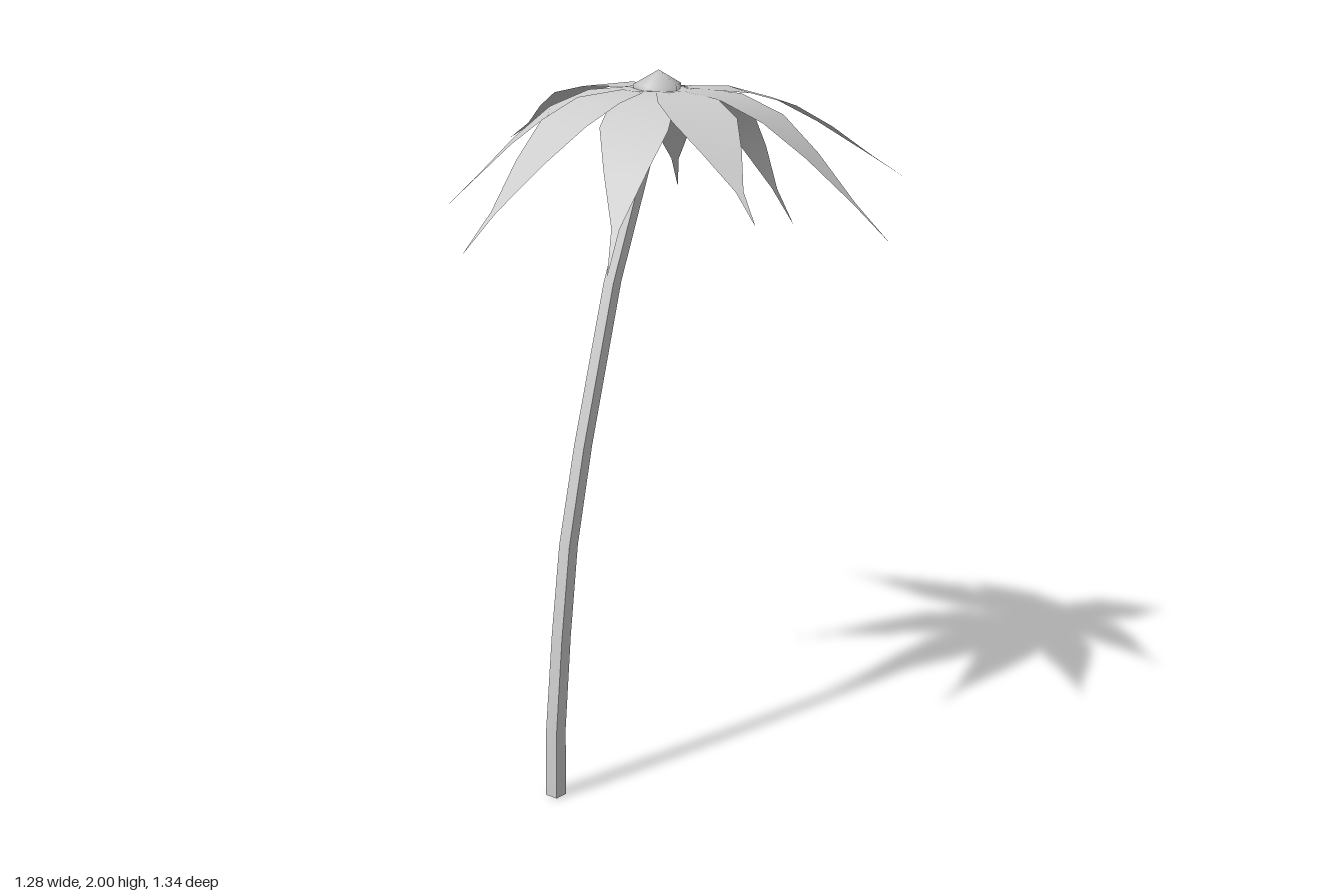
import * as THREE from 'three';

const bark = new THREE.MeshStandardMaterial({ color: 0xcccccc });
bark.name = 'light grey';
const frondGrey = new THREE.MeshStandardMaterial({ color: 0xcccccc, side: THREE.DoubleSide });
frondGrey.name = 'frond grey';

const CENTRE = new THREE.Vector3(0.022, 1.945, 0.038);

// Square trunk: a segmented box bent along the path [x, y]
function createTrunk() {
  const path = [[-0.44, 0], [-0.437, 0.2], [-0.41, 0.47], [-0.375, 0.73], [-0.31, 1.0], [-0.18, 1.44], [0.015, 1.9]];
  const n = path.length - 1;
  const geo = new THREE.BoxGeometry(1, 1, 1, 1, n, 1);
  const p = geo.attributes.position;
  for (let i = 0; i < p.count; i++) {
    const k = Math.round((p.getY(i) + 0.5) * n);
    const width = 0.04 - 0.007 * k / n;
    p.setXYZ(i, path[k][0] + p.getX(i) * width, path[k][1], CENTRE.z + p.getZ(i) * width);
  }
  geo.computeVertexNormals();
  const trunk = new THREE.Mesh(geo, bark);
  trunk.name = 'trunk';
  return trunk;
}

// Pointed leaf running from the crown to its tip, drooping towards the end
function createFrond(tipX, tipY, tipZ) {
  // [fraction of reach, half width, fraction of droop]
  const sections = [[0.05, 0.02, 0], [0.14, 0.045, -0.01], [0.32, 0.088, 0.03], [0.5, 0.094, 0.17],
    [0.67, 0.058, 0.42], [0.85, 0.011, 0.74], [1, 0.0005, 1]];
  const dx = tipX - CENTRE.x, dz = tipZ - CENTRE.z, reach = Math.hypot(dx, dz);
  const verts = [], index = [];
  sections.forEach(([t, half, droop], i) => {
    const y = CENTRE.y + (tipY - CENTRE.y) * droop;
    for (const side of [-1, 1]) {
      verts.push(CENTRE.x + dx * t + side * half * dz / reach, y, CENTRE.z + dz * t - side * half * dx / reach);
    }
    if (i) {
      const a = 2 * i - 2;
      index.push(a, a + 3, a + 1, a, a + 2, a + 3);
    }
  });
  const geo = new THREE.BufferGeometry();
  geo.setAttribute('position', new THREE.Float32BufferAttribute(verts, 3));
  geo.setIndex(index);
  // keep the front face upward
  geo.computeVertexNormals();
  if (geo.attributes.normal.getY(0) < 0) {
    geo.setIndex(index.reverse());
    geo.computeVertexNormals();
  }
  const frond = new THREE.Mesh(geo, frondGrey);
  frond.name = 'frond';
  return frond;
}

export function createModel() {
  const model = new THREE.Group();
  model.name = 'palmTree';
  model.add(createTrunk());

  // Crown bud
  const bud = new THREE.Mesh(new THREE.SphereGeometry(0.08, 5, 3), bark);
  bud.name = 'crownBud';
  bud.position.set(CENTRE.x, 1.92, CENTRE.z);
  bud.rotation.y = Math.PI / 2 - 0.1;
  model.add(bud);

  // Ring of fronds, given by their tips
  const fronds = new THREE.Group();
  fronds.name = 'fronds';
  const tips = [[0.195, 1.73, -0.67], [0.505, 1.585, -0.27], [0.57, 1.5, 0.115], [0.64, 1.67, 0.445],
    [0.23, 1.565, 0.665], [-0.255, 1.67, 0.57], [-0.475, 1.535, 0.265], [-0.64, 1.575, -0.085], [-0.365, 1.61, -0.425]];
  for (const tip of tips) fronds.add(createFrond(...tip));
  model.add(fronds);
  return model;
}
